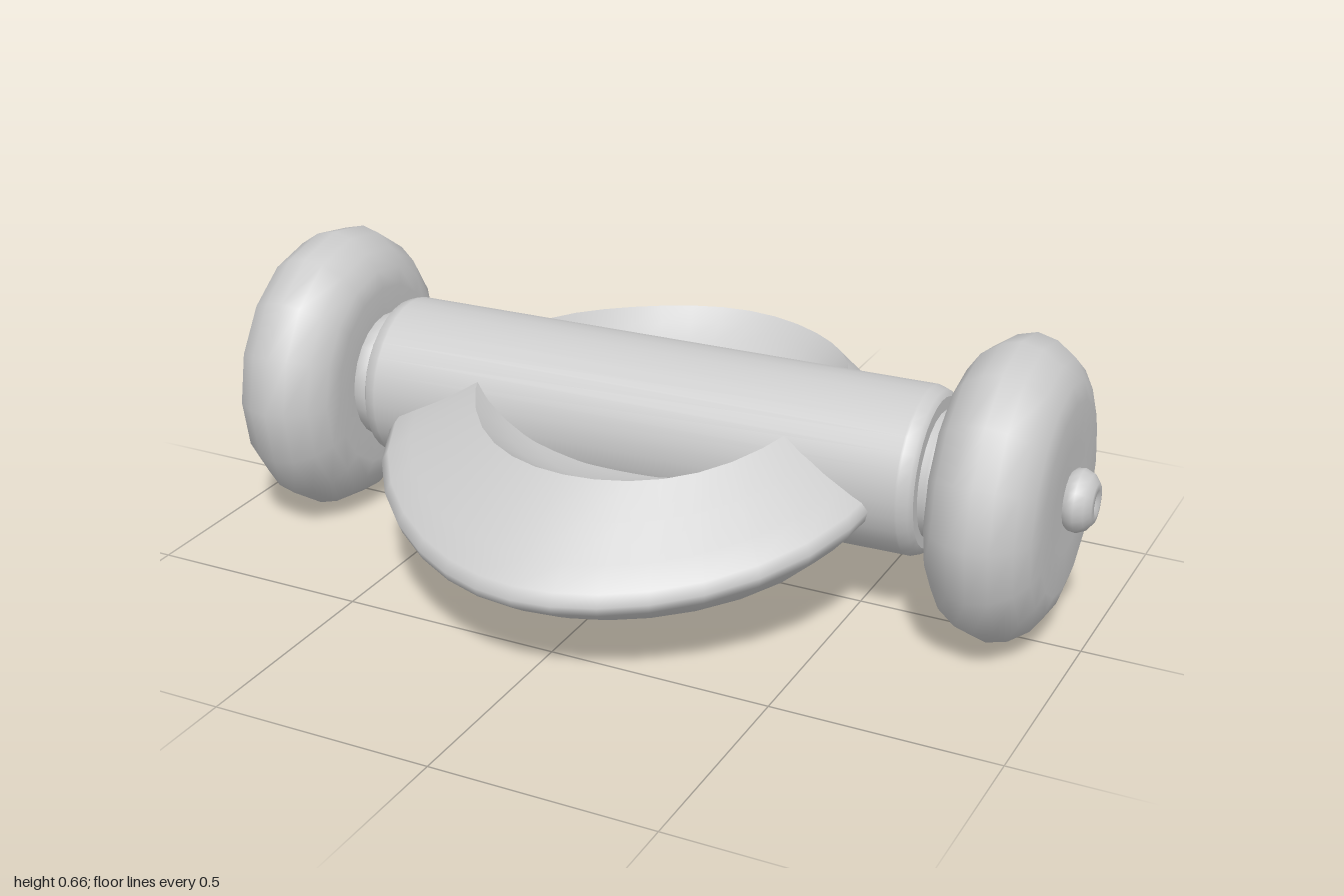
import * as THREE from 'three';

const material = new THREE.MeshStandardMaterial({ color: 0xcccccc });
const SEG = 36;

function addMesh(parent, name, geometry) {
  const mesh = new THREE.Mesh(geometry, material);
  mesh.name = name;
  parent.add(mesh);
  return mesh;
}

// Turned part along the x axis; points are [radius, x] with x rising
function turned(points, sides) {
  const profile = points.map(([r, x]) => new THREE.Vector2(r, x));
  return new THREE.LatheGeometry(profile, sides).rotateZ(-Math.PI / 2);
}

// Skin over closed rings, each ring a function of the angle t (0 = front)
function skin(rings) {
  const positions = [], index = [];
  rings.forEach((ring, i) => {
    for (let j = 0; j < SEG; j++) {
      positions.push(...ring((j / SEG) * Math.PI * 2));
      if (i === rings.length - 1) continue;
      const k = (j + 1) % SEG;
      const a = i * SEG + j, b = i * SEG + k, c = b + SEG, d = a + SEG;
      index.push(a, b, c, a, c, d);
    }
  });
  const g = new THREE.BufferGeometry();
  g.setAttribute('position', new THREE.Float32BufferAttribute(positions, 3));
  g.setIndex(index);
  g.computeVertexNormals();
  return g;
}

// Widest edge of the hull: egg-shaped, dipping at front and back
function outerEdge(t) {
  const s = Math.sin(t), c = Math.cos(t);
  const z = 0.67 * c;
  const x = 0.57 * s * (1 + 0.19 * c - 0.1 * c * c - 0.22 * c ** 3);
  return [x, 0.238 - 0.041 * z + 0.09 * s ** 4, z];
}

// Edge of the opening
function innerEdge(t) {
  const s = Math.sin(t), z = -0.03 + 0.467 * Math.cos(t);
  return [0.4 * s, 0.41 - 0.04 * z + 0.045 * s ** 4, z];
}

const mix = (a, b, f) => a.map((v, i) => v + (b[i] - v) * f);

function buildHull() {
  const hull = new THREE.Group();
  hull.name = 'hull';

  // Rounded underside, blunt edge and sloping rim
  const shell = [0.001, 0.15, 0.3, 0.45, 0.6, 0.72, 0.83, 0.92, 0.985].map((f) => (t) => {
    const [x, y, z] = outerEdge(t);
    return [x * f, 0.02 + (y - 0.035) * f ** 2.7, z * f];
  });
  shell.push((t) => outerEdge(t));
  for (const f of [0.07, 0.3, 0.65, 1]) {
    shell.push((t) => {
      const p = mix(outerEdge(t), innerEdge(t), f);
      p[1] += 0.012 * (1 - f);
      return p;
    });
  }
  addMesh(hull, 'hullShell', skin(shell));

  // Shallow bowl inside the rim
  const bowl = [1, 0.93, 0.84, 0.7, 0.5, 0.25, 0.001].map((f) => (t) => {
    const [x, y, z] = innerEdge(t);
    return [x * f, 0.28 + (y - 0.28) * f ** 3, -0.03 + (z + 0.03) * f];
  });
  addMesh(hull, 'hullBowl', skin(bowl));
  return hull;
}

function buildWheelEnd(name) {
  const end = new THREE.Group();
  end.name = name;
  addMesh(end, 'hubCollar', turned(
    [[0.14, 0.63], [0.14, 0.665], [0.145, 0.67], [0.145, 0.695], [0.13, 0.71]], 24));
  addMesh(end, 'wheel', turned([
    [0, 0.7], [0.12, 0.697], [0.21, 0.695], [0.25, 0.705], [0.29, 0.732], [0.32, 0.775],
    [0.331, 0.817], [0.32, 0.862], [0.29, 0.905], [0.25, 0.93], [0.21, 0.942], [0.12, 0.942], [0, 0.94],
  ], 16));
  // Button cap with a small dimple
  addMesh(end, 'hubCap', turned([
    [0.055, 0.935], [0.067, 0.95], [0.069, 0.965], [0.06, 0.985],
    [0.043, 0.998], [0.028, 1], [0.018, 0.992], [0, 0.984],
  ], 20));
  return end;
}

export function createModel() {
  const model = new THREE.Group();
  model.add(buildHull());

  // Axle assembly, turned a little out of square with the hull
  const axle = new THREE.Group();
  axle.name = 'axle';
  axle.position.y = 0.336;
  axle.rotation.y = 0.036;
  addMesh(axle, 'axleTube', turned([
    [0, -0.655], [0.165, -0.655], [0.165, -0.655], [0.178, -0.647], [0.186, -0.625], [0.186, -0.62],
    [0.186, 0.62], [0.186, 0.625], [0.178, 0.647], [0.165, 0.655], [0.165, 0.655], [0, 0.655],
  ], 32)).position.y = 0.004;

  const leftEnd = buildWheelEnd('leftWheelEnd');
  const rightEnd = buildWheelEnd('rightWheelEnd');
  rightEnd.rotation.y = Math.PI;
  axle.add(leftEnd, rightEnd);
  model.add(axle);
  return model;
}
